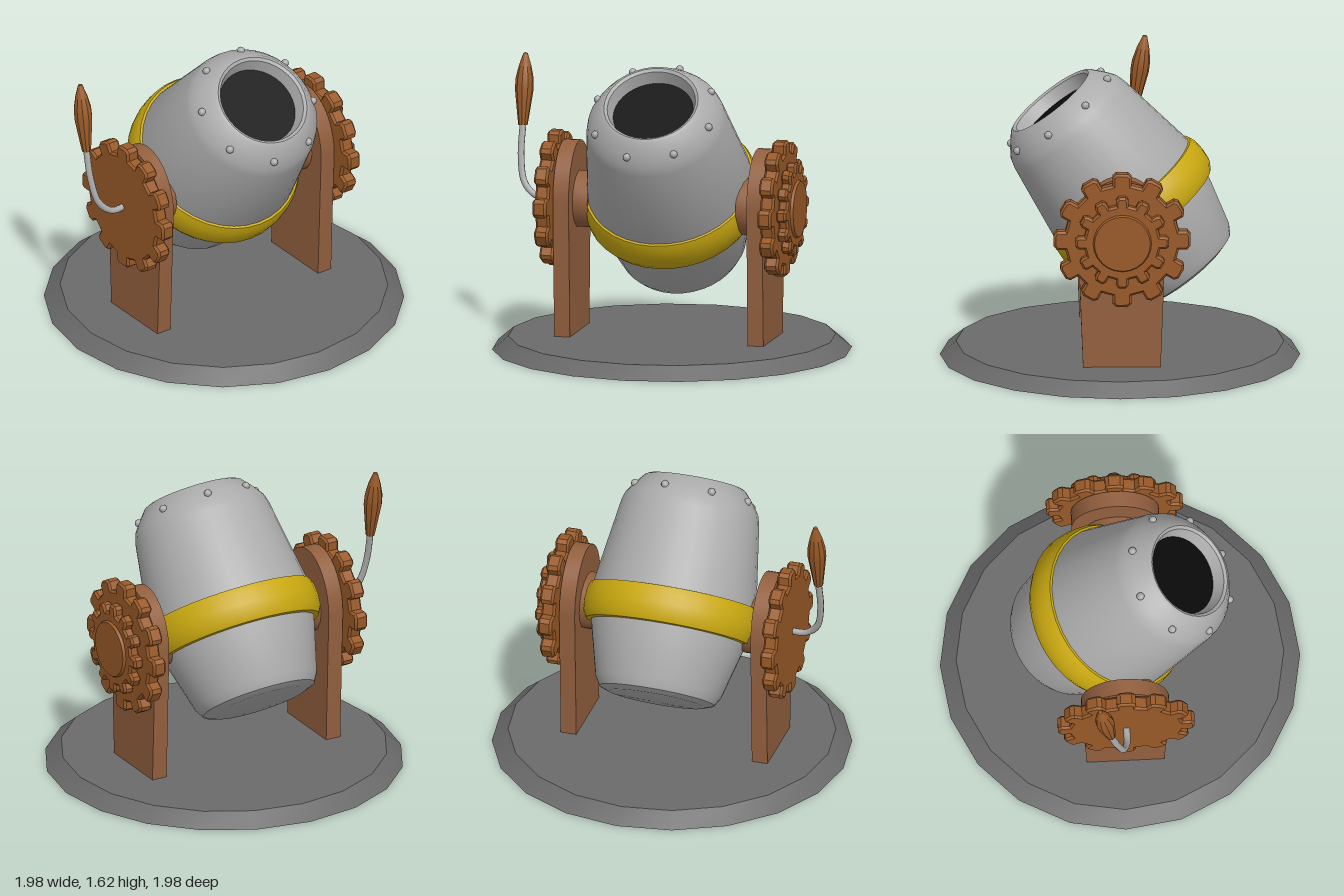
import * as THREE from 'three';
import { toCreasedNormals } from 'three/addons/utils/BufferGeometryUtils.js';

const mat = (name, color) => {
  const m = new THREE.MeshStandardMaterial({ color });
  m.name = name;
  return m;
};

export function createModel() {
  const stone = mat('dark grey', 0x6a6a6a);
  const steel = mat('light grey', 0xacacac);
  const yellow = mat('yellow', 0xc9a810);
  const wood = mat('brown', 0x925f3e);
  const gearBrown = mat('orange brown', 0x995a28);
  const black = mat('black', 0x0a0a0a);

  const add = (parent, name, geometry, material, x = 0, y = 0, z = 0) => {
    const mesh = new THREE.Mesh(geometry, material);
    mesh.name = name;
    mesh.position.set(x, y, z);
    parent.add(mesh);
    return mesh;
  };
  // profile points are [radius, height], listed from bottom to top
  const lathe = (pts, segments, crease = 0.6) => toCreasedNormals(
    new THREE.LatheGeometry(pts.map(([r, h]) => new THREE.Vector2(r, h)), segments), crease);

  const model = new THREE.Group();
  model.name = 'mixer';

  // Twenty-sided base plate
  const base = add(model, 'base', toCreasedNormals(
    new THREE.CylinderGeometry(0.91, 1, 0.075, 20), 0.4), stone, 0, 0.0375, 0);
  base.rotation.y = -10 * Math.PI / 180;

  // Everything above the base faces diagonally
  const turned = new THREE.Group();
  turned.name = 'machine';
  turned.rotation.y = Math.PI / 4;
  model.add(turned);
  const body = new THREE.Group();
  body.name = 'machineBody';
  body.position.x = -0.02;
  turned.add(body);

  // Legs with rounded tops, and axle blocks
  const legShape = new THREE.Shape();
  legShape.moveTo(-0.215, 0.06);
  legShape.lineTo(0.215, 0.06);
  legShape.lineTo(0.245, 0.84);
  legShape.absellipse(0, 0.84, 0.245, 0.31, 0, Math.PI, false);
  legShape.lineTo(-0.215, 0.06);
  const legGeo = toCreasedNormals(
    new THREE.ExtrudeGeometry(legShape, { depth: 0.09, bevelEnabled: false, curveSegments: 10 })
      .translate(0, 0, -0.045), 0.5);
  for (const side of [-1, 1]) {
    const leg = add(body, side > 0 ? 'leftLeg' : 'rightLeg', legGeo, wood, side * 0.555, 0, 0);
    leg.rotation.y = side * Math.PI / 2;
    const axle = add(body, side > 0 ? 'leftAxle' : 'rightAxle',
      toCreasedNormals(new THREE.CylinderGeometry(0.16, 0.16, 0.1, 16), 0.6), wood, side * 0.475, 0.82, 0);
    axle.rotation.z = Math.PI / 2;
  }

  // Toothed wheels
  const gear = (root, tip, toothWidth, thickness, teeth = 12) => {
    const shape = new THREE.Shape();
    const bevel = 0.012;
    for (let i = 0; i < teeth; i++) {
      const a = (i / teeth) * Math.PI * 2;
      const corners = [[root, -0.5], [tip - 0.018, -0.5], [tip, -0.3], [tip, 0.3], [tip - 0.018, 0.5], [root, 0.5]];
      corners.forEach(([r, t], k) => {
        const w = t * toothWidth;
        const x = r * Math.cos(a) - w * Math.sin(a);
        const y = r * Math.sin(a) + w * Math.cos(a);
        if (i + k === 0) shape.moveTo(x, y);
        else shape.lineTo(x, y);
      });
    }
    shape.closePath();
    const geo = new THREE.ExtrudeGeometry(shape, {
      depth: thickness - 2 * bevel, bevelThickness: bevel, bevelSize: bevel, bevelOffset: -bevel, bevelSegments: 1,
    });
    geo.translate(0, 0, bevel - thickness / 2);
    return toCreasedNormals(geo, 0.5);
  };
  const bigGear = gear(0.315, 0.38, 0.105, 0.08);
  for (const side of [-1, 1]) {
    add(body, side > 0 ? 'leftGear' : 'rightGear', bigGear, gearBrown, side * 0.645, 0.82, 0)
      .rotation.y = side * Math.PI / 2;
  }
  add(body, 'smallGear', gear(0.21, 0.26, 0.07, 0.06), gearBrown, 0.71, 0.82, 0).rotation.y = Math.PI / 2;
  add(body, 'gearHub', toCreasedNormals(new THREE.CylinderGeometry(0.155, 0.165, 0.02, 24), 0.4),
    gearBrown, 0.745, 0.82, 0).rotation.z = -Math.PI / 2;

  // Bent crank rod and its handle
  const rodPath = new THREE.CatmullRomCurve3([
    [-0.66, 0.82, 0], [-0.76, 0.825, 0], [-0.83, 0.89, -0.02], [-0.86, 1.03, -0.055], [-0.86, 1.22, -0.1],
  ].map((p) => new THREE.Vector3(...p)));
  add(body, 'crankRod', new THREE.TubeGeometry(rodPath, 24, 0.019, 8), steel);
  const handle = add(body, 'crankHandle', lathe([
    [0, 0], [0.026, 0], [0.038, 0.09], [0.052, 0.2], [0.05, 0.26], [0.035, 0.33], [0.012, 0.4], [0, 0.405],
  ], 10), gearBrown, -0.86, 1.2, -0.095);
  handle.rotation.x = -0.15;

  // Tilted drum
  const drum = new THREE.Group();
  drum.name = 'drum';
  drum.position.set(0, 0.494, -0.348);
  drum.rotation.x = 37.5 * Math.PI / 180;
  body.add(drum);
  add(drum, 'drumShell', lathe([
    [0, -0.03], [0.27, -0.03], [0.325, -0.01], [0.355, 0.04], [0.44, 0.36], [0.465, 0.53],
    [0.39, 1.03], [0.375, 1.08], [0.34, 1.13], [0.285, 1.195], [0.265, 1.205], [0.248, 1.195], [0.222, 1.11],
  ], 36), steel);
  add(drum, 'drumOpening', new THREE.CircleGeometry(0.226, 36).rotateX(-Math.PI / 2), black, 0, 1.125, 0);
  add(drum, 'drumBand', lathe([
    [0.42, 0.345], [0.465, 0.35], [0.488, 0.39], [0.494, 0.45], [0.49, 0.51], [0.475, 0.55], [0.44, 0.555],
  ], 36), yellow);

  // Rivets around the shoulder
  const rivetGeo = new THREE.SphereGeometry(0.022, 10, 8);
  for (let i = 0; i < 8; i++) {
    const a = ((i + 0.5) / 8) * Math.PI * 2 + 0.15;
    add(drum, 'rivet', rivetGeo, steel, Math.sin(a) * 0.345, 1.127, Math.cos(a) * 0.345);
  }
  return model;
}
